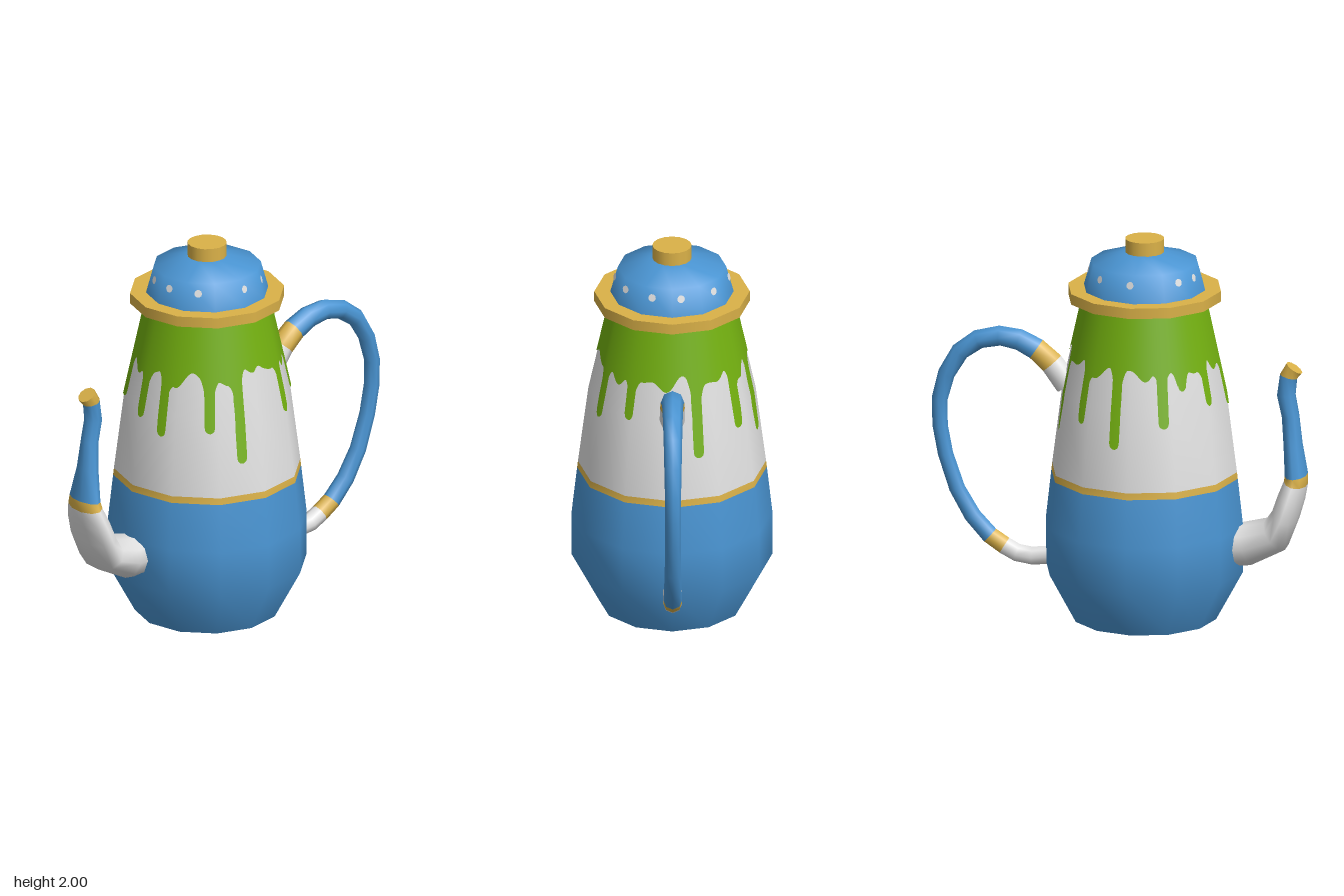
import * as THREE from 'three';

const mat = (name, color) => {
  const m = new THREE.MeshStandardMaterial({ color });
  m.name = name;
  return m;
};

const CZ = 0.13;    // z of the pot's axis
const SIDES = 12;   // sides of the pot
const STEP = (2 * Math.PI) / SIDES;

// Distance from axis to a regular polygon's edge at angle phi, for corner radius 1
const polygon = (phi) => {
  const t = ((phi % STEP) + STEP) % STEP;
  return Math.cos(STEP / 2) / Math.cos(t - STEP / 2);
};

// Radius of the wall at height y, from [radius, y] points
function radiusAt(profile, y) {
  for (let i = 1; i < profile.length; i++) {
    const [r0, y0] = profile[i - 1], [r1, y1] = profile[i];
    if (y <= y1) return r0 + ((r1 - r0) * (y - y0)) / (y1 - y0);
  }
  return profile[profile.length - 1][0];
}

// Skin over elliptical sections [z, y, halfWidth, halfDepth, material of the span that follows]
function loft(name, sections, sides, startCap, endCap) {
  const pos = [], index = [], materials = [];
  const geo = new THREE.BufferGeometry();
  const addGroup = (start, material) => {
    if (!materials.includes(material)) materials.push(material);
    geo.addGroup(start, index.length - start, materials.indexOf(material));
  };
  const ring = (i) => {
    const [z, y, a, b] = sections[i];
    const p = sections[Math.max(i - 1, 0)], n = sections[Math.min(i + 1, sections.length - 1)];
    const len = Math.hypot(n[0] - p[0], n[1] - p[1]);
    const tz = (n[0] - p[0]) / len, ty = (n[1] - p[1]) / len;
    for (let j = 0; j < sides; j++) {
      const t = (j / sides) * 2 * Math.PI, s = b * Math.sin(t);
      pos.push(a * Math.cos(t), y + s * tz, z - s * ty);
    }
  };
  sections.forEach((_, i) => ring(i));
  for (let i = 0; i < sections.length - 1; i++) {
    const start = index.length;
    for (let j = 0; j < sides; j++) {
      const a = i * sides + j, b = i * sides + ((j + 1) % sides);
      index.push(a, b, a + sides, b, b + sides, a + sides);
    }
    addGroup(start, sections[i][4]);
  }
  const cap = (i, material, flip) => {
    const start = index.length, base = pos.length / 3;
    ring(i);
    pos.push(0, sections[i][1], sections[i][0]);
    for (let j = 0; j < sides; j++) {
      const a = base + j, b = base + ((j + 1) % sides);
      index.push(base + sides, flip ? b : a, flip ? a : b);
    }
    addGroup(start, material);
  };
  if (startCap) cap(0, startCap, true);
  if (endCap) cap(sections.length - 1, endCap, false);
  geo.setAttribute('position', new THREE.Float32BufferAttribute(pos, 3));
  geo.setIndex(index);
  geo.computeVertexNormals();
  const mesh = new THREE.Mesh(geo, materials);
  mesh.name = name;
  return mesh;
}

// Height of the paint's lower edge at an angle in degrees
const DRIPS = [[-162, 1.0], [-128, 1.1], [-100, 1.0], [-66, 1.11], [-50, 1.29], [-28, 1.19],
  [0, 1.15], [19, 1.08], [54, 1.12], [76, 0.95], [120, 1.14], [148, 1.19]];
function paintEdge(deg) {
  let y = 1.39 + 0.025 * Math.sin(deg * 0.1745) + 0.02 * Math.cos(deg * 0.2967 + 1);
  y += 0.07 * Math.exp(-(((deg - 95) / 6) ** 2));
  for (const [at, bottom] of DRIPS) {
    const d = Math.abs(((deg - at + 540) % 360) - 180);
    if (d <= 3.5) return bottom + 0.03 * (1 - Math.sqrt(1 - (d / 3.5) ** 2));
    if (d < 8) y -= 0.07 * (1 - (d - 3.5) / 4.5) ** 2;
  }
  return y;
}

// Thin coat of paint following the wall, with a dripping edge
function paintCoat(profile, material) {
  const pos = [], nor = [], index = [], cols = 720, rows = 8, top = 1.69;
  for (let i = 0; i <= cols; i++) {
    const deg = (i / cols) * 360 - 180, phi = THREE.MathUtils.degToRad(deg);
    const low = paintEdge(deg);
    for (let j = 0; j <= rows; j++) {
      const y = low + ((top - low) * j) / rows;
      const r = (radiusAt(profile, y) + 0.005) * polygon(phi);
      pos.push(r * Math.sin(phi), y, CZ + r * Math.cos(phi));
      nor.push(0.98 * Math.sin(phi), 0.2, 0.98 * Math.cos(phi));
      if (i < cols && j < rows) {
        const a = i * (rows + 1) + j, b = a + rows + 1;
        index.push(a, b, a + 1, b, b + 1, a + 1);
      }
    }
  }
  const geo = new THREE.BufferGeometry();
  geo.setAttribute('position', new THREE.Float32BufferAttribute(pos, 3));
  geo.setAttribute('normal', new THREE.Float32BufferAttribute(nor, 3));
  geo.setIndex(index);
  const mesh = new THREE.Mesh(geo, material);
  mesh.name = 'drippingPaint';
  return mesh;
}

export function createModel() {
  const blue = mat('blue glaze', 0x4a95d3);
  const gold = mat('gold trim', 0xdab148);
  const white = mat('white glaze', 0xe0e0e0);
  const green = mat('green paint', 0x73b010);
  const model = new THREE.Group();
  model.name = 'coffeePot';
  const add = (name, geo, material, y) => {
    const mesh = new THREE.Mesh(geo, material);
    mesh.name = name;
    mesh.position.set(0, y, CZ);
    model.add(mesh);
  };

  // Pot wall with gold band and base
  const wall = [[0.37, 0, blue], [0.51, 0.26, blue], [0.51, 0.5, blue], [0.482, 0.75, gold],
    [0.478, 0.785, white], [0.425, 1.2, white], [0.315, 1.7, white]];
  model.add(loft('body', wall.map(([r, y, m]) => [CZ, y, r, r, m]), SIDES, gold));
  model.add(paintCoat(wall, green));

  // Lid: rim, dome and knob
  add('lidRim', new THREE.CylinderGeometry(0.395, 0.395, 0.055, SIDES), gold, 1.7125);
  const dome = [[0.315, 1.735], [0.275, 1.88], [0.1, 1.93], [0, 1.93]];
  add('lidDome', new THREE.LatheGeometry(dome.map(([r, y]) => new THREE.Vector2(r, y)), SIDES), blue, 0);
  add('lidKnob', new THREE.CylinderGeometry(0.1, 0.1, 0.08, 16), gold, 1.96);

  // White dots around the dome
  const dots = new THREE.Group();
  dots.name = 'lidDots';
  const dotGeo = new THREE.CircleGeometry(0.02, 10);
  for (const deg of [10, 43, 93, 125, 159, 189, 228, 266, 318, 342]) {
    const phi = THREE.MathUtils.degToRad(deg);
    const r = (radiusAt(dome, 1.83) + 0.006) * polygon(phi);
    const face = (Math.floor(phi / STEP) + 0.5) * STEP;
    const dot = new THREE.Mesh(dotGeo, white);
    dot.name = 'lidDot';
    dot.position.set(r * Math.sin(phi), 1.83, CZ + r * Math.cos(phi));
    dot.rotation.set(-0.27, face, 0, 'YXZ');
    dots.add(dot);
  }
  model.add(dots);

  // Spout: wide at the root, slim at the neck
  model.add(loft('spout', [
    [0.58, 0.405, 0.12, 0.115, white], [0.66, 0.41, 0.135, 0.11, white], [0.81, 0.47, 0.17, 0.092, white],
    [0.86, 0.575, 0.172, 0.07, white], [0.89, 0.67, 0.152, 0.068, white], [0.913, 0.75, 0.12, 0.06, gold],
    [0.915, 0.79, 0.105, 0.057, blue], [0.898, 0.95, 0.066, 0.048, blue], [0.885, 1.1, 0.048, 0.045, blue],
    [0.863, 1.21, 0.046, 0.048, blue], [0.875, 1.31, 0.045, 0.046, gold], [0.905, 1.355, 0.048, 0.048, gold],
  ], 10, null, gold));

  // Handle: a tapering loop with gold collars
  const handle = [
    [-0.27, 1.2, 0.065, white], [-0.35, 1.31, 0.063, gold], [-0.43, 1.38, 0.06, blue],
    [-0.52, 1.425, 0.057, blue], [-0.62, 1.44, 0.053, blue], [-0.73, 1.415, 0.05, blue],
    [-0.825, 1.345, 0.047, blue], [-0.895, 1.225, 0.044, blue], [-0.93, 1.09, 0.041, blue],
    [-0.928, 0.95, 0.04, blue], [-0.9, 0.8, 0.04, blue], [-0.84, 0.62, 0.042, blue],
    [-0.76, 0.48, 0.045, blue], [-0.67, 0.38, 0.047, gold], [-0.595, 0.33, 0.048, white],
    [-0.53, 0.295, 0.048, white], [-0.45, 0.283, 0.048, white], [-0.34, 0.295, 0.048, white],
  ];
  model.add(loft('handle', handle.map(([z, y, r, m]) => [z, y, r, r, m]), 8, white, white));
  return model;
}
